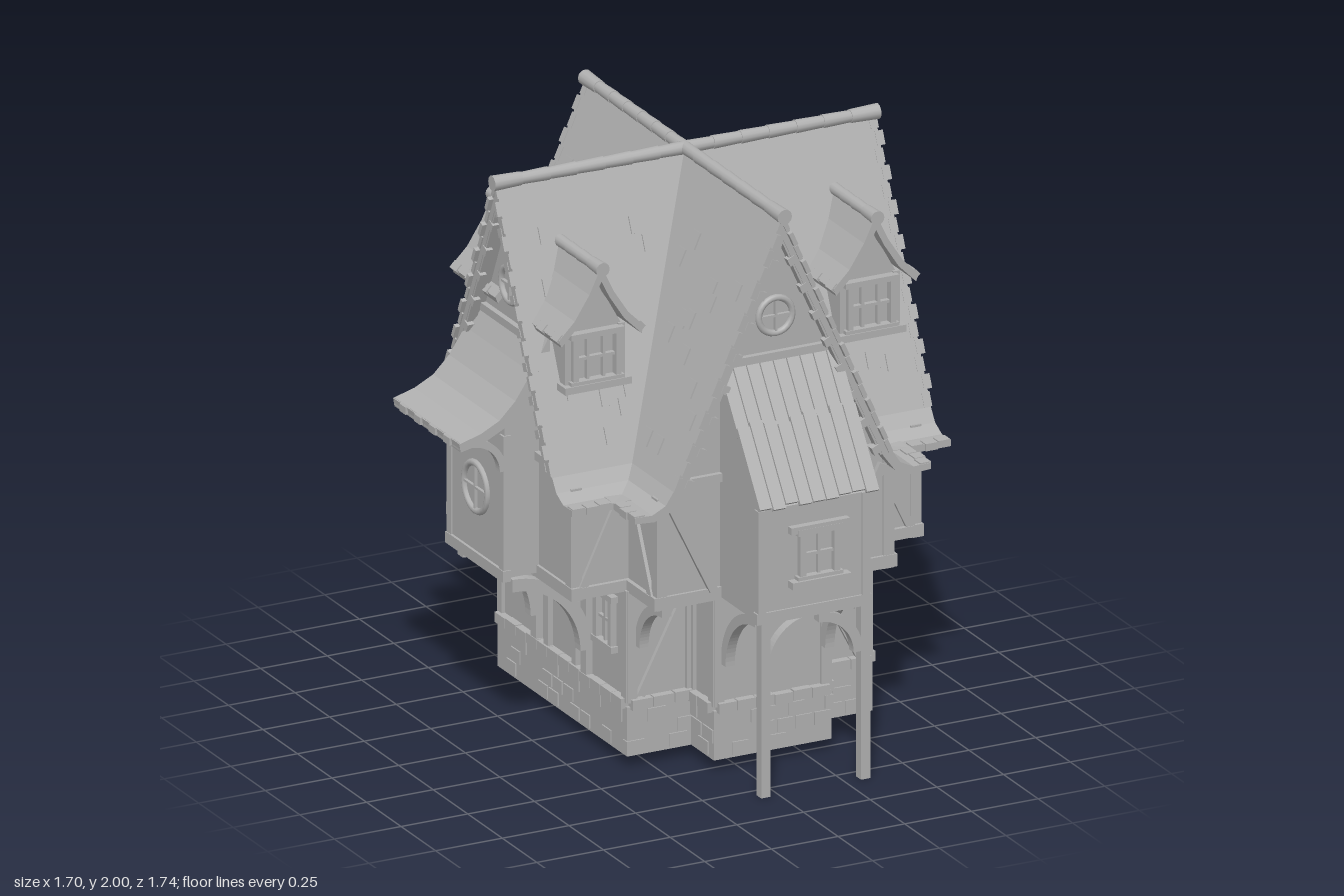
import * as THREE from 'three';

const grey = new THREE.MeshStandardMaterial({ color: 0xb0b0b0 });
grey.name = 'stoneGrey';
const CX = 0.125, CZ = -0.1;           // crossing point of the two ridges
let seed = 7;
const rnd = () => (seed = (seed * 16807) % 2147483647) / 2147483647;

function add(parent, name, geo, x = 0, y = 0, z = 0) {
  const m = new THREE.Mesh(geo, grey);
  m.name = name;
  m.position.set(x, y, z);
  parent.add(m);
  return m;
}
function box(parent, name, w, h, d, x, y, z, rz = 0) {
  const m = add(parent, name, new THREE.BoxGeometry(w, h, d), x, y, z);
  m.rotation.z = rz;
  return m;
}
// Timber between two points of a wall face
function beam(parent, x1, y1, x2, y2, z, w = 0.035, d = 0.03) {
  return box(parent, 'timber', Math.hypot(x2 - x1, y2 - y1), w, d,
    (x1 + x2) / 2, (y1 + y2) / 2, z, Math.atan2(y2 - y1, x2 - x1));
}
const toShape = pts => new THREE.Shape(pts.map(p => new THREE.Vector2(p[0], p[1])));
const mirrored = pts => [...pts, ...pts.slice().reverse().filter(p => p[0] > 0).map(p => [-p[0], p[1]])];
// Extrusion centred along z
function prism(shape, len) {
  return new THREE.ExtrudeGeometry(shape, { depth: len, bevelEnabled: false, curveSegments: 10 }).translate(0, 0, -len / 2);
}
// Profile given as (outward, up), extruded sideways
const sideways = (pts, w) => prism(toShape(pts), w).rotateY(-Math.PI / 2);
// Symmetric roof shell from its outer and inner half profiles
function roofShell(outer, inner, len) {
  const left = a => a.filter(p => p[0] > 0).map(p => [-p[0], p[1]]);
  return prism(toShape([...left(outer).reverse(), ...outer, ...inner.slice().reverse(), ...left(inner)]), len);
}
// Curved bracket running from a wall (0,-r) up and out to (r,0)
function bracketGeo(r, w = 0.035, t = 0.035) {
  const s = new THREE.Shape();
  s.absarc(r, -r, r, Math.PI / 2, Math.PI, false);
  s.absarc(r, -r, r - w, Math.PI, Math.PI / 2, true);
  return prism(s, t);
}
function frame(parent, x, y, z, w, h, cols = 2, rows = 2, t = 0.022) {
  const g = new THREE.Group();
  g.name = 'window';
  g.position.set(x, y, z);
  parent.add(g);
  for (const s of [-1, 1]) {
    box(g, 'windowJamb', t, h, 0.035, s * (w - t) / 2, 0, 0.005);
    box(g, 'windowRail', w + 0.02, t, 0.04, 0, s * (h - t) / 2, 0.006);
  }
  for (let i = 1; i < cols; i++) box(g, 'mullion', 0.01, h, 0.02, -w / 2 + w * i / cols, 0, 0.003);
  for (let i = 1; i < rows; i++) box(g, 'mullion', w, 0.01, 0.02, 0, -h / 2 + h * i / rows, 0.003);
}
function roundWindow(parent, y, z, r) {
  add(parent, 'roundWindowFrame', new THREE.TorusGeometry(r, 0.012, 8, 24), 0, y, z);
  box(parent, 'mullion', 2 * r, 0.008, 0.015, 0, y, z);
  box(parent, 'mullion', 0.008, 2 * r, 0.015, 0, y, z);
}
// Row of overlapping ridge tiles along z, ending in a thicker one
function ridge(parent, y, z0, z1, r, n) {
  const l = (z1 - z0) / n;
  for (let i = 0; i < n; i++) {
    const g = new THREE.CylinderGeometry(r * (i === n - 1 ? 1.15 : 0.88), r, l * 1.03, 12).rotateX(Math.PI / 2);
    add(parent, 'ridgeTile', g, 0, y, z0 + l * (i + 0.5));
  }
}
function crossShape(n, m, a, b) {
  const q = [[n, m], [n, b], [a, b]];
  return [...q, ...q.slice().reverse().map(p => [p[0], -p[1]]),
    ...q.map(p => [-p[0], -p[1]]), ...q.slice().reverse().map(p => [-p[0], p[1]])];
}
// Hollow wall following an outline in plan; the hole winds the other way
function wallRing(parent, name, pts, inner, y0, y1) {
  const s = toShape(pts);
  s.holes.push(toShape(inner.slice().reverse()));
  const g = new THREE.ExtrudeGeometry(s, { depth: y1 - y0, bevelEnabled: false }).rotateX(-Math.PI / 2);
  add(parent, name, g, 0, y0, 0);
}

function groundFloor(house) {
  const g = new THREE.Group();
  g.name = 'groundFloor';
  house.add(g);
  const inner = crossShape(0.17, 0.59, 0.41, 0.42), plan = crossShape(0.21, 0.625, 0.45, 0.46);
  wallRing(g, 'groundWall', plan, inner, 0.2, 0.64);
  wallRing(g, 'stoneBase', crossShape(0.22, 0.635, 0.46, 0.47), inner, 0.04, 0.215);
  // Stone blocks and capping course along every wall
  plan.forEach((p, i) => {
    const q = plan[(i + 1) % plan.length], len = Math.hypot(q[0] - p[0], q[1] - p[1]);
    const run = new THREE.Group();
    run.name = 'stoneCourse';
    run.position.set(p[0], 0, p[1]);
    run.rotation.y = Math.atan2(-(q[1] - p[1]), q[0] - p[0]);
    g.add(run);
    const n = Math.max(2, Math.round(len / 0.075)), l = len / n;
    for (let j = 0; j < n; j++) {
      box(run, 'capStone', l * 0.95, 0.036, 0.055, (j + 0.5) * l, 0.222 + rnd() * 0.006, 0);
      for (let r = 0; r < 3; r++)
        if (rnd() < 0.45) box(run, 'stoneBlock', l * 0.85, 0.046, 0.03, (j + 0.25 + (r % 2) * 0.4) * l, 0.072 + r * 0.052, 0);
    }
    for (const x of [0.01, len - 0.01]) box(run, 'cornerPost', 0.035, 0.4, 0.026, x, 0.43, 0);
    box(run, 'topRail', len, 0.03, 0.025, len / 2, 0.615, 0);
  });
  // Straight braces on the recessed fronts, curved brackets under the overhangs
  for (const s of [-1, 1]) {
    for (const f of [-1, 1]) beam(g, s * 0.23, 0.6, s * 0.41, 0.25, f * 0.465, 0.03, 0.02);
    add(g, 'curvedBracket', bracketGeo(0.2), s * 0.42, 0.63, -0.46).rotation.y = Math.PI / 2;
  }
  add(g, 'curvedBracket', bracketGeo(0.2), -0.41, 0.63, 0.46).rotation.y = -Math.PI / 2;
}

const roofOuter = [[0, 1.975], [0.41, 1.06], [0.44, 1.015], [0.49, 0.99], [0.555, 0.992]];
const roofInner = [[0, 1.89], [0.375, 1.05], [0.42, 0.99], [0.48, 0.965], [0.555, 0.97]];

// One gabled arm of the cross, facing local +z
function gable(g, k) {
  const face = 0.655;
  for (const s of [-1, 1]) {
    box(g, 'gablePost', 0.04, 0.4, 0.04, s * 0.425, 0.82, 0.637);
    // side wall timbers
    box(g, 'sideSill', 0.03, 0.04, 0.24, s * 0.44, 0.645, 0.54);
    box(g, 'sideBrace', 0.025, 0.38, 0.03, s * 0.44, 0.82, 0.54).rotation.x = Math.atan2(-0.16, 0.34);
    // bargeboard with pegs
    beam(g, s * 0.01, 1.9, s * 0.385, 1.06, 0.69, 0.04, 0.035);
    for (let i = 0; i < 8; i++) {
      const t = 0.12 + i * 0.11;
      box(g, 'peg', 0.03, 0.028, 0.025, s * (t * 0.41 - 0.015), 1.92 - t * 0.95, 0.7, s * -1.15);
    }
    // jagged tile edge and loose tiles on the slope
    const a = Math.atan2(-0.915, s * 0.41);
    for (let i = 0; i < 17; i++) {
      const t = 0.03 + i / 17;
      if (t < 1) box(g, 'edgeTile', 0.05, 0.016, 0.03, s * (t * 0.41 - 0.005), 1.971 - t * 0.915, 0.7 + (i % 2) * 0.012, a);
    }
    for (let i = 0; i < 13; i++) {
      const t = 0.2 + rnd() * 0.7, z = t * 0.41 + 0.05 + rnd() * (0.6 - t * 0.41);
      box(g, 'roofTile', 0.06, 0.011, 0.05, s * t * 0.41, 1.975 - t * 0.915, z, a);
    }
    for (let i = 0; i < 3; i++) box(g, 'eaveTile', 0.04, 0.026, 0.045, s * (0.536 + 0.006 * (i % 2)), 0.983, 0.585 + i * 0.05);
    if (k % 2 === 0) beam(g, s * 0.4, 1.0, s * 0.235, 0.66, face, 0.03, 0.025);
  }
  box(g, 'gableSill', 0.91, 0.045, 0.04, 0, 0.645, 0.64);
  box(g, 'gableBeam', 0.76, 0.03, 0.025, 0, 1.06, face);
  box(g, 'gableCollar', 0.38, 0.028, 0.03, 0, 1.46, face);
  roundWindow(g, 1.6, face, 0.063);
  ridge(g, 1.973, 0, 0.722, 0.0235, 7);
}

function porch(g) {
  add(g, 'porchRoom', sideways([[0.6, 0.63], [0.93, 0.63], [0.93, 1.03], [0.63, 1.46], [0.6, 1.46]], 0.41));
  const planks = new THREE.Group();
  planks.name = 'plankRoof';
  planks.position.set(0.01, 1.25, 0.784);
  planks.rotation.x = -Math.atan2(0.3, 0.43);
  g.add(planks);
  for (let i = 0; i < 9; i++) {
    const x = (i - 4) * 0.05, l = 0.27 + rnd() * 0.04;
    box(planks, 'roofPlank', 0.046, l, 0.016, x, -0.26 + l / 2 - rnd() * 0.015, 0.015);
    box(planks, 'roofPlank', 0.046, 0.28, 0.016, x, 0.13, 0.007);
  }
  for (const s of [-1, 1]) {
    const x = 0.012 + s * 0.187;
    box(g, 'porchPost', 0.035, 0.64, 0.035, x, 0.32, 0.907);
    const arch = add(g, 'porchArch', bracketGeo(0.165), x - s * 0.01, 0.625, 0.907);
    if (s > 0) arch.rotation.y = Math.PI;
    add(g, 'porchBracket', bracketGeo(0.25), x, 0.63, 0.63).rotation.y = -Math.PI / 2;
    box(g, 'porchCorner', 0.03, 0.4, 0.03, s * 0.195, 0.83, 0.922);
  }
  box(g, 'porchSill', 0.43, 0.04, 0.03, 0, 0.645, 0.922);
  frame(g, 0.015, 0.85, 0.93, 0.15, 0.19, 2, 2);
  box(g, 'windowSill', 0.22, 0.025, 0.05, 0.015, 0.752, 0.94);
  box(g, 'windowHead', 0.22, 0.025, 0.04, 0.015, 0.945, 0.935);
}

function rightSide(g) {
  for (const x of [-0.205, 0.205]) {
    frame(g, x, 0.455, 0.45, 0.37, 0.26, 1, 1, 0.02);
    frame(g, x, 0.455, 0.447, 0.31, 0.2, 1, 1, 0.012);
  }
  frame(g, 0.1, 0.955, 0.655, 0.14, 0.17, 2, 2);
}

function backBay(g) {
  add(g, 'bayBody', sideways([[0.6, 0.75], [0.735, 0.75], [0.735, 0.95], [0.6, 1.0]], 0.28));
  add(g, 'bayRoof', sideways([[0.64, 1.015], [0.77, 0.945], [0.765, 0.925], [0.64, 0.99]], 0.33));
  frame(g, 0, 0.845, 0.732, 0.27, 0.16, 4, 2, 0.018);
  box(g, 'baySill', 0.31, 0.025, 0.11, 0, 0.755, 0.69);
  for (const s of [-1, 1]) {
    box(g, 'baySupport', 0.03, 0.05, 0.08, s * 0.1, 0.725, 0.68);
    box(g, 'archJamb', 0.03, 0.26, 0.04, s * 0.12, 1.2, 0.655);
    box(g, 'archLowerPost', 0.03, 0.3, 0.03, s * 0.19, 1.21, 0.655);
  }
  // Arched window in the gable
  add(g, 'archHead', new THREE.TorusGeometry(0.12, 0.018, 8, 18, Math.PI), 0, 1.32, 0.66);
  frame(g, 0, 1.25, 0.655, 0.13, 0.2, 2, 3, 0.018);
  add(g, 'innerArch', new THREE.TorusGeometry(0.06, 0.01, 8, 16, Math.PI), 0, 1.345, 0.66);
}

function leanTo(g) {
  add(g, 'sideBay', sideways([[0.6, 0.64], [0.78, 0.64], [0.78, 1.22], [0.7, 1.32], [0.6, 1.45]], 0.4));
  add(g, 'leanToRoof', sideways([[0.63, 1.5], [0.7, 1.375], [0.76, 1.285], [0.82, 1.225], [0.89, 1.19], [0.97, 1.168],
    [0.965, 1.138], [0.88, 1.155], [0.8, 1.195], [0.74, 1.255], [0.68, 1.34], [0.63, 1.43]], 0.48));
  for (let i = 0; i < 9; i++) box(g, 'leanToTile', 0.045, 0.026, 0.05, (i - 4) * 0.053, 1.157, 0.942 + (i % 2) * 0.01);
  roundWindow(g, 0.9, 0.783, 0.085);
  box(g, 'baySill', 0.42, 0.04, 0.03, 0, 0.65, 0.775);
  for (const s of [-1, 1]) {
    box(g, 'bayPost', 0.03, 0.5, 0.03, s * 0.19, 0.9, 0.772);
    add(g, 'bayBracket', bracketGeo(0.3, 0.045, 0.04), s * 0.18, 0.63, 0.45).rotation.y = -Math.PI / 2;
    beam(g, s * 0.18, 0.23, s * 0.18, 0.63, 0.455, 0.04, 0.04);
    box(g, 'doorJamb', 0.03, 0.25, 0.04, s * 0.1, 0.35, 0.45);
    frame(g, s * 0.31, 0.48, 0.45, 0.13, 0.2);
    add(g, 'eaveStrut', bracketGeo(0.13, 0.025, 0.03), s * 0.2, 1.16, 0.78).rotation.y = -Math.PI / 2;
  }
  add(g, 'doorArch', new THREE.TorusGeometry(0.1, 0.018, 8, 16, Math.PI), 0, 0.47, 0.455);
}

function dormer(house, x, back) {
  const g = new THREE.Group();
  g.name = 'dormer';
  g.position.set(x, 0, 0);
  g.rotation.y = back ? Math.PI : 0;
  house.add(g);
  const wall = mirrored([[0.1, 1.34], [0.1, 1.54], [0.05, 1.63], [0, 1.72]]);
  add(g, 'dormerWall', prism(toShape(wall), 0.25), 0, 0, 0.21);
  const outer = [[0, 1.775], [0.045, 1.68], [0.1, 1.595], [0.16, 1.535]];
  const inner = [[0, 1.72], [0.03, 1.66], [0.085, 1.575], [0.15, 1.51]];
  add(g, 'dormerRoof', roofShell(outer, inner, 0.32), 0, 0, 0.23);
  ridge(g, 1.765, 0.09, 0.4, 0.022, 4);
  frame(g, 0, 1.44, 0.34, 0.18, 0.19, 3, 2, 0.02);
  box(g, 'dormerSill', 0.25, 0.025, 0.06, 0, 1.34, 0.34);
  for (const s of [-1, 1]) {
    box(g, 'dormerPost', 0.025, 0.2, 0.03, s * 0.1, 1.44, 0.33);
    for (let i = 0; i < 6; i++) box(g, 'dormerTile', 0.03, 0.02, 0.045, s * (0.144 + (i % 2) * 0.006), 1.537, 0.095 + i * 0.054, -s * 0.8);
  }
}

export function createModel() {
  const model = new THREE.Group();
  model.name = 'timberHouse';
  const house = new THREE.Group();
  house.name = 'house';
  house.position.set(CX, 0, CZ);
  model.add(house);
  groundFloor(house);
  // Two crossing upper storeys and roofs
  const wall = toShape(mirrored([[0.44, 0.625], [0.44, 0.985], [0.385, 1.04], [0, 1.9]]));
  for (const r of [0, Math.PI / 2]) {
    add(house, 'upperWalls', prism(wall, 1.3)).rotation.y = r;
    add(house, 'mainRoof', roofShell(roofOuter, roofInner, 1.42)).rotation.y = r;
  }
  // Front, left, back and right arms with their own details
  [porch, rightSide, backBay, leanTo].forEach((detail, k) => {
    const arm = new THREE.Group();
    arm.name = ['frontArm', 'leftArm', 'backArm', 'rightArm'][k];
    arm.rotation.y = k * Math.PI / 2;
    house.add(arm);
    gable(arm, k);
    detail(arm);
  });
  for (const x of [-0.515, 0.515]) for (const back of [false, true]) dormer(house, x, back);
  return model;
}
